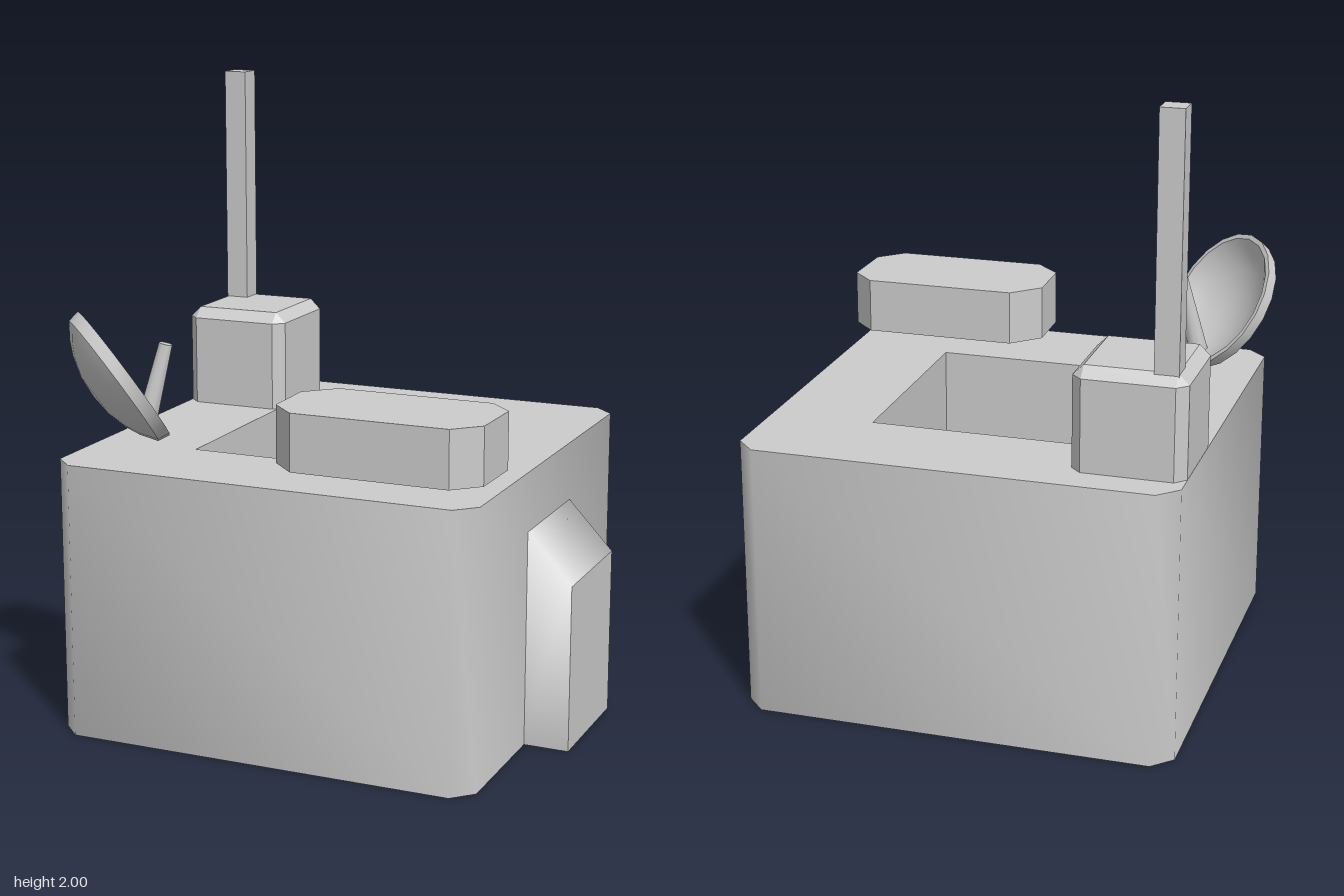
import * as THREE from 'three';
import { toCreasedNormals } from 'three/addons/utils/BufferGeometryUtils.js';

const grey = new THREE.MeshStandardMaterial({ color: 0xcccccc });
grey.name = 'grey';

// Diamond plan with cut corners, clockwise seen from above
const diamond = (R, c, cx = 0, cz = 0) =>
  [[c, -R], [R, -c], [R, c], [c, R], [-c, R], [-R, c], [-R, -c], [-c, -R]]
    .map(([x, z]) => [x + cx, z + cz]);

// Skin a stack of [plan, y] rings and close both ends
function loft(rings, crease) {
  const pts = rings.map(([plan, y]) => plan.map(([x, z]) => new THREE.Vector3(x, y, z)));
  const n = pts[0].length;
  const pos = [];
  const tri = (a, b, c) => {
    if (a.distanceTo(b) < 1e-6 || b.distanceTo(c) < 1e-6 || c.distanceTo(a) < 1e-6) return;
    for (const p of [a, b, c]) pos.push(p.x, p.y, p.z);
  };
  for (let k = 0; k + 1 < pts.length; k++) {
    for (let i = 0; i < n; i++) {
      const j = (i + 1) % n, lo = pts[k], hi = pts[k + 1];
      tri(lo[i], hi[i], hi[j]);
      tri(lo[i], hi[j], lo[j]);
    }
  }
  const first = pts[0], last = pts[pts.length - 1];
  for (let i = 1; i + 1 < n; i++) {
    tri(first[0], first[i], first[i + 1]);
    tri(last[0], last[i + 1], last[i]);
  }
  const g = new THREE.BufferGeometry();
  g.setAttribute('position', new THREE.Float32BufferAttribute(pos, 3));
  return toCreasedNormals(g, crease);
}

// Quads over shared corners, smooth within one mesh
function quads(corners, faces) {
  const g = new THREE.BufferGeometry();
  g.setAttribute('position', new THREE.Float32BufferAttribute(corners.flat(), 3));
  g.setIndex(faces.flatMap(([a, b, c, d]) => [a, b, c, a, c, d]));
  g.computeVertexNormals();
  return g;
}

export function createModel() {
  const model = new THREE.Group();
  model.name = 'bunker';
  const add = (name, geometry, parent = model) => {
    const mesh = new THREE.Mesh(geometry, grey);
    mesh.name = name;
    parent.add(mesh);
    return mesh;
  };

  // Main body with its sunken courtyard
  const outer = diamond(0.942, 0.045), well = diamond(0.512, 0);
  add('body', loft([[outer, 0], [outer, 0.885], [well, 0.885], [well, 0.4]], 0.9));

  // Entrance with a sloping roof, open underneath
  const door = [
    [0.34, 0, 0.63], [0.34, 0.707, 0.63], [0.45, 0, 0.743], [0.45, 0.537, 0.743],
    [0.743, 0, 0.45], [0.743, 0.537, 0.45], [0.63, 0, 0.34], [0.63, 0.707, 0.34],
  ];
  add('entranceHood', quads(door, [[0, 2, 3, 1], [3, 5, 7, 1], [4, 6, 7, 5]]));
  add('entranceFront', quads(door.slice(2, 6), [[0, 2, 3, 1]]));

  // Raised slab over the front corner
  const slab = [[-0.28, 0.335], [-0.155, 0.335], [0.2, 0.69], [0.2, 0.8],
    [0.055, 0.942], [-0.055, 0.942], [-0.41, 0.588], [-0.41, 0.47]];
  add('frontSlab', loft([[slab, 0.945], [slab, 1.125]], 0.1));

  // Bevelled block on the rear corner, carrying the mast
  const block = diamond(0.227, 0.024, -0.077, -0.658);
  const blockTop = diamond(0.202, 0, -0.077, -0.658);
  add('rearBlock', loft([[block, 0.885], [block, 1.18], [blockTop, 1.214]], 0.1));
  const mast = diamond(0.054, 0, -0.075, -0.814);
  add('mast', loft([[mast, 1.17], [mast, 2]], 0.1));

  // Dish: outer shell, rim and hollow in one profile
  const profile = [[0, -0.12], [0.07, -0.115], [0.14, -0.095], [0.185, -0.074], [0.235, -0.04],
    [0.242, 0], [0.226, 0], [0.185, -0.035], [0.14, -0.062], [0.07, -0.083], [0, -0.09]]
    .map(([x, y]) => new THREE.Vector2(x, y));
  const up = new THREE.Vector3(0, 1, 0);
  const dish = add('dish', toCreasedNormals(new THREE.LatheGeometry(profile, 20), 0.7));
  dish.quaternion.setFromUnitVectors(up, new THREE.Vector3(0.83, 0.555, 0.06).normalize());
  dish.position.set(-0.722, 1.133, -0.073);

  // Tapered feed rising out of the dish
  const base = new THREE.Vector3(-0.652, 0.965, -0.072);
  const tip = new THREE.Vector3(-0.588, 1.222, -0.058);
  const feed = add('dishFeed',
    toCreasedNormals(new THREE.CylinderGeometry(0.023, 0.034, base.distanceTo(tip), 8), 0.9));
  feed.quaternion.setFromUnitVectors(up, tip.clone().sub(base).normalize());
  feed.position.copy(base).lerp(tip, 0.5);

  return model;
}
